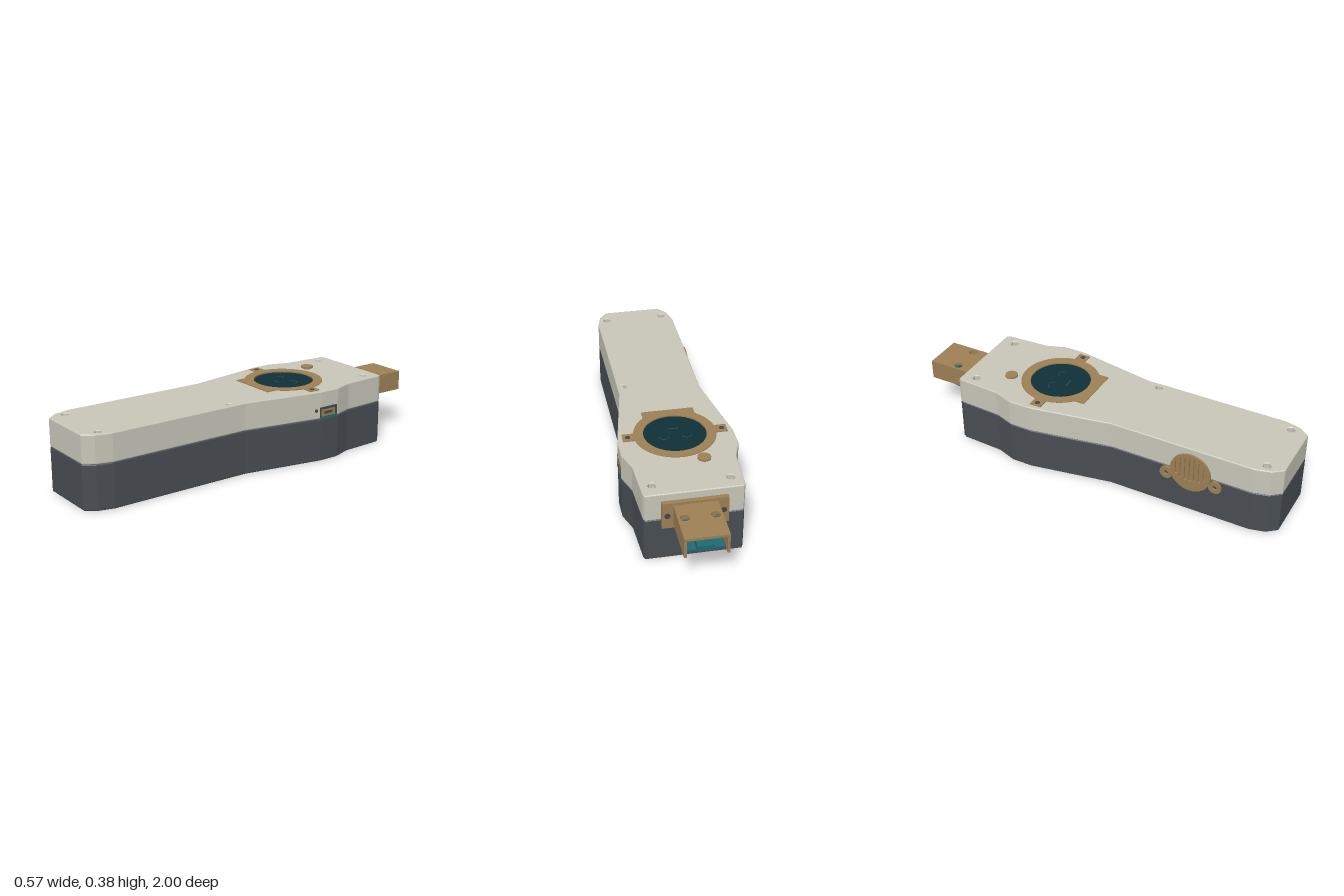
import * as THREE from 'three';

const mat = (name, color, side = THREE.FrontSide) => {
  const m = new THREE.MeshStandardMaterial({ color, side });
  m.name = name;
  return m;
};

// Closed circular or polygonal hole
function ringPath(x, y, r, sides = 24) {
  const p = [];
  for (let i = 0; i < sides; i++) {
    const a = (i / sides) * Math.PI * 2;
    p.push(new THREE.Vector2(x + r * Math.cos(a), y + r * Math.sin(a)));
  }
  return new THREE.Path(p);
}

function rectShape(x0, y0, x1, y1) {
  return new THREE.Shape([[x0, y0], [x1, y0], [x1, y1], [x0, y1]].map(p => new THREE.Vector2(...p)));
}

// Horizontal slab from a plan drawn as (x, -z)
function slab(shape, y0, y1, bevel = 0) {
  const g = new THREE.ExtrudeGeometry(shape, {
    depth: y1 - y0 - 2 * bevel, bevelEnabled: bevel > 0, bevelSize: bevel,
    bevelThickness: bevel, bevelOffset: -bevel, bevelSegments: 3, curveSegments: 24,
  });
  return g.rotateX(-Math.PI / 2).translate(0, y0 + bevel, 0);
}

export function createModel() {
  const light = mat('warm light grey', 0xc6c5b8);
  const dark = mat('charcoal', 0x484d53);
  const tan = mat('bronze tan', 0x9c7f55);
  const glass = mat('dark teal glass', 0x0f3038);
  const teal = mat('teal board', 0x1f6a70);
  const steel = mat('screw steel', 0x44474a);
  const ink = mat('display line', 0x2c5058);

  const root = new THREE.Group();
  const add = (name, geo, material, x = 0, y = 0, z = 0, parent = root) => {
    const m = new THREE.Mesh(geo, material);
    m.name = name;
    m.position.set(x, y, z);
    parent.add(m);
    return m;
  };
  const box = (name, m, x0, x1, y0, y1, z0, z1) => add(name,
    new THREE.BoxGeometry(x1 - x0, y1 - y0, z1 - z0), m, (x0 + x1) / 2, (y0 + y1) / 2, (z0 + z1) / 2);
  const disc = (name, m, r, y0, y1, x, z, sides = 32) => add(name,
    new THREE.CylinderGeometry(r, r, y1 - y0, sides), m, x, (y0 + y1) / 2, z);

  // Mirrored plan of the case: half width against z
  const half = [[0.15, 1], [0.19, 0.95], [0.21, 0.87], [0.208, 0.13], [0.283, -0.29],
    [0.283, -0.4], [0.248, -0.5], [0.236, -0.72], [0.228, -0.735]];
  const plan = () => new THREE.Shape([
    ...half.map(([x, z]) => new THREE.Vector2(x, -z)),
    ...half.slice().reverse().map(([x, z]) => new THREE.Vector2(-x, -z)),
  ]);
  const screws = [];
  for (const [x, z] of [[0.183, -0.66], [0.178, 0.2], [0.155, 0.913]]) screws.push([x, z], [-x, z]);
  const SZ = -0.27; // screen centre

  // Two case halves with screw wells
  const base = plan(), lid = plan();
  for (const [x, z] of screws) {
    base.holes.push(ringPath(x, -z, 0.02, 20));
    lid.holes.push(ringPath(x, -z, 0.021, 6));
  }
  lid.holes.push(ringPath(0, -SZ, 0.16, 48));
  add('lowerCase', slab(base, 0, 0.225, 0.006), dark);
  add('upperCase', slab(lid, 0.225, 0.367, 0.006), light);

  // Seats inside the screw wells, with a narrow through hole
  for (const [x, z] of screws) {
    const seat = new THREE.Shape(ringPath(0, 0, 0.027, 20).getPoints());
    seat.holes.push(ringPath(0, 0, 0.014, 16));
    add('screwSeat', slab(seat, 0.335, 0.34), light, x, 0, z);
    add('lowerScrewSeat', slab(seat, 0.03, 0.035), dark, x, 0, z);
  }

  // Screen bezel with two ears and a square tab
  const e = Math.asin(0.15), t = 0.863, R = 0.2;
  const bezel = new THREE.Shape();
  bezel.moveTo(0.255, -0.03);
  bezel.lineTo(0.255, 0.03);
  bezel.absarc(0, 0, R, e, Math.PI - e, false);
  bezel.lineTo(-0.255, 0.03);
  bezel.lineTo(-0.255, -0.03);
  bezel.absarc(0, 0, R, Math.PI + e, Math.PI + t, false);
  bezel.lineTo(-0.13, -0.205);
  bezel.lineTo(0.13, -0.205);
  bezel.absarc(0, 0, R, -t, -e, false);
  bezel.holes.push(ringPath(0, 0, 0.153, 48));
  add('screenBezel', slab(bezel, 0.362, 0.3705), tan, 0, 0, SZ);
  disc('screenGlass', glass, 0.158, 0.352, 0.364, 0, SZ, 48);
  for (const s of [-1, 1]) {
    disc('bezelScrew', steel, 0.013, 0.366, 0.3715, s * 0.23, SZ, 16);
    // Smiling eye arcs
    const eye = new THREE.TorusGeometry(0.024, 0.002, 4, 16, Math.PI).rotateX(-Math.PI / 2);
    add('displayEye', eye, ink, s * 0.055, 0.364, -0.285);
  }
  box('displayMouth', ink, -0.025, 0.025, 0.363, 0.366, -0.226, -0.222);

  // Push button
  disc('buttonStem', tan, 0.019, 0.36, 0.375, -0.093, -0.505);
  disc('buttonCap', tan, 0.032, 0.374, 0.383, -0.093, -0.505);

  // Connector hood at the back: flange, roof with two holes, side walls
  box('hoodFlange', tan, -0.155, 0.155, 0.19, 0.328, -0.758, -0.734);
  const roof = rectShape(-0.103, 0.75, 0.103, 1);
  for (const s of [-1, 1]) roof.holes.push(ringPath(s * 0.07, 0.853, 0.022));
  add('hoodRoof', slab(roof, 0.302, 0.315), tan);
  for (const s of [-1, 1]) {
    const x = s * 0.097;
    box('hoodWall', tan, x - 0.006, x + 0.006, 0.213, 0.303, -1, -0.75);
    disc('boardScrew', steel, 0.021, 0.198, 0.237, s * 0.07, -0.853, 20);
    const bolt = add('flangeScrew', new THREE.CylinderGeometry(0.014, 0.014, 0.004, 16), steel, s * 0.13, 0.26, -0.759);
    bolt.rotation.x = Math.PI / 2;
  }
  box('connectorBoard', teal, -0.091, 0.091, 0.218, 0.228, -0.97, -0.757);
  box('connectorBlock', teal, -0.04, 0.04, 0.228, 0.255, -0.985, -0.9);

  // Round grille on the right side, drawn as (z, y)
  const side = (shape, depth) =>
    new THREE.ExtrudeGeometry(shape, { depth, bevelEnabled: false, curveSegments: 32 }).rotateY(-Math.PI / 2);
  const grille = new THREE.Shape(ringPath(0, 0, 0.105, 48).getPoints());
  for (let i = -3; i <= 3; i++) {
    const z = i * 0.024, h = Math.sqrt(0.088 ** 2 - z * z);
    const slot = rectShape(z - 0.006, -h * 0.55, z + 0.006, h);
    grille.holes.push(new THREE.Path(slot.getPoints()));
  }
  add('grilleFace', side(grille, 0.011), tan, -0.213, 0.235, 0.56);
  add('grilleBack', side(new THREE.Shape(ringPath(0, 0, 0.1, 40).getPoints()), 0.006), tan, -0.208, 0.235, 0.56);
  for (const s of [-1, 1]) {
    const ear = new THREE.Shape(ringPath(0, 0, 0.033, 24).getPoints());
    ear.holes.push(ringPath(0, 0, 0.012, 16));
    add('grilleEar', side(ear, 0.012), tan, -0.208, 0.19, 0.56 + s * 0.127);
  }

  // Charging port on the left side
  box('portRecess', steel, 0.279, 0.2835, 0.227, 0.285, -0.393, -0.283);
  box('portSocket', tan, 0.276, 0.286, 0.236, 0.272, -0.378, -0.292);
  box('portSlot', steel, 0.284, 0.2865, 0.248, 0.262, -0.362, -0.308);
  box('portBoard', teal, 0.276, 0.2855, 0.224, 0.234, -0.39, -0.285);
  const pin = add('statusHole', new THREE.CylinderGeometry(0.009, 0.009, 0.008, 16), steel, 0.277, 0.27, -0.262);
  pin.rotation.z = Math.PI / 2;

  return root;
}
